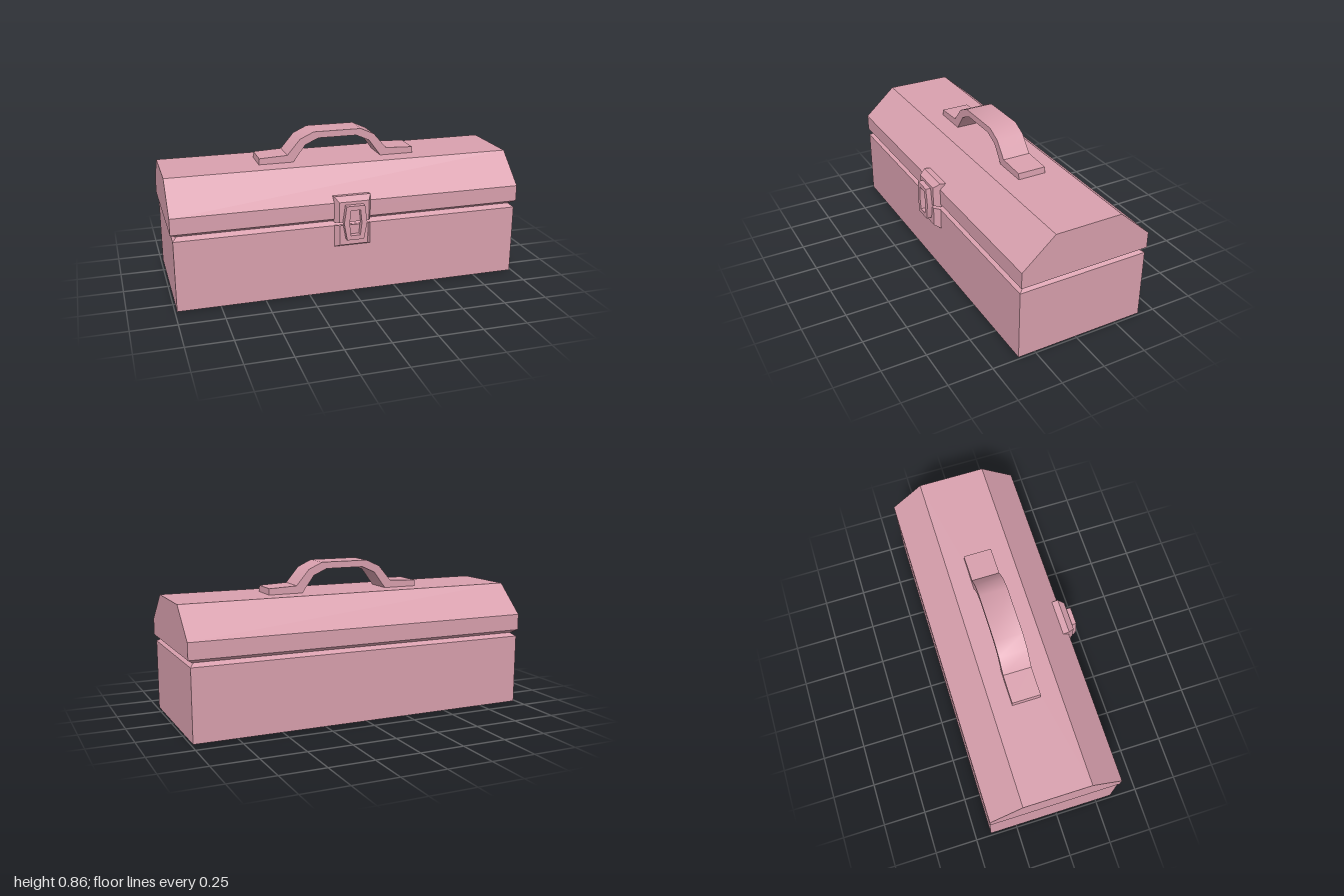
import * as THREE from 'three';
import { toCreasedNormals } from 'three/addons/utils/BufferGeometryUtils.js';

const material = new THREE.MeshStandardMaterial({ color: 0xd9a0ae });

// Four corners, anticlockwise seen from above (level) or from the front (upright)
const level = (y, x, z0, z1) => [[-x, y, z1], [x, y, z1], [x, y, z0], [-x, y, z0]];
const upright = (z, x, y0, y1) => [[-x, y0, z], [x, y0, z], [x, y1, z], [-x, y1, z]];

// Closed, hard-edged solid through a stack of four-cornered rings
function loft(rings) {
  const p = [];
  const quad = (a, b, c, d) => p.push(...a, ...b, ...c, ...a, ...c, ...d);
  for (let r = 0; r < rings.length - 1; r++) {
    for (let i = 0; i < 4; i++) {
      const j = (i + 1) % 4;
      quad(rings[r][i], rings[r][j], rings[r + 1][j], rings[r + 1][i]);
    }
  }
  quad(...[...rings[0]].reverse());
  quad(...rings[rings.length - 1]);
  const g = new THREE.BufferGeometry();
  g.setAttribute('position', new THREE.Float32BufferAttribute(p, 3));
  g.computeVertexNormals();
  return g;
}

// Outline mirrored about x = 0, from its right-hand points
function mirrored(points) {
  const left = points.map(([x, y]) => [-x, y]).reverse();
  return [...points, ...left].map(([x, y]) => new THREE.Vector2(x, y));
}

export function createModel() {
  const model = new THREE.Group();
  model.name = 'toolbox';
  const add = (name, geometry, parent = model) => {
    const mesh = new THREE.Mesh(geometry, material);
    mesh.name = name;
    parent.add(mesh);
    return mesh;
  };

  // Box with a chamfered rim
  add('body', loft([
    level(0, 0.988, -0.408, 0.345),
    level(0.4, 0.988, -0.408, 0.345),
    level(0.418, 0.965, -0.377, 0.315),
  ]));

  // Lid with chamfered lower rim and sloping front and back
  add('lid', loft([
    level(0.418, 0.972, -0.377, 0.315),
    level(0.438, 1, -0.408, 0.345),
    level(0.53, 1, -0.408, 0.345),
    level(0.695, 1, -0.225, 0.16),
  ]));

  // Arched handle with flat feet
  const arch = new THREE.Shape(mirrored([
    [0.26, 0.695], [0.46, 0.695], [0.457, 0.73], [0.295, 0.737],
    [0.22, 0.825], [0.14, 0.862],
  ]).concat(mirrored([[0.112, 0.825], [0.19, 0.79], [0.26, 0.695]].reverse())
    .reverse().slice(1, -1)));
  const handle = new THREE.ExtrudeGeometry(arch, { depth: 0.162, bevelEnabled: false });
  handle.translate(0, 0, -0.112);
  add('handle', toCreasedNormals(handle, 0.75));

  // Latch: two bevelled plates joined by a clasp ring
  const latch = new THREE.Group();
  latch.name = 'latch';
  latch.position.x = -0.003;
  model.add(latch);
  add('upperPlate', loft([
    upright(0.3, 0.104, 0.425, 0.561),
    upright(0.345, 0.104, 0.42, 0.567),
    upright(0.38, 0.085, 0.426, 0.542),
  ]), latch);
  add('lowerPlate', loft([
    upright(0.32, 0.104, 0.277, 0.402),
    upright(0.345, 0.104, 0.277, 0.402),
    upright(0.378, 0.08, 0.294, 0.408),
  ]), latch);

  const ring = new THREE.Shape(mirrored([[0.048, 0.33], [0.066, 0.428], [0.052, 0.525]]));
  ring.holes.push(new THREE.Path(mirrored([[0.027, 0.355], [0.035, 0.428], [0.027, 0.5]])));
  const clasp = new THREE.ExtrudeGeometry(ring, { depth: 0.034, bevelEnabled: false });
  clasp.translate(0, 0, 0.375);
  add('clasp', toCreasedNormals(clasp, 0.5), latch);

  return model;
}
